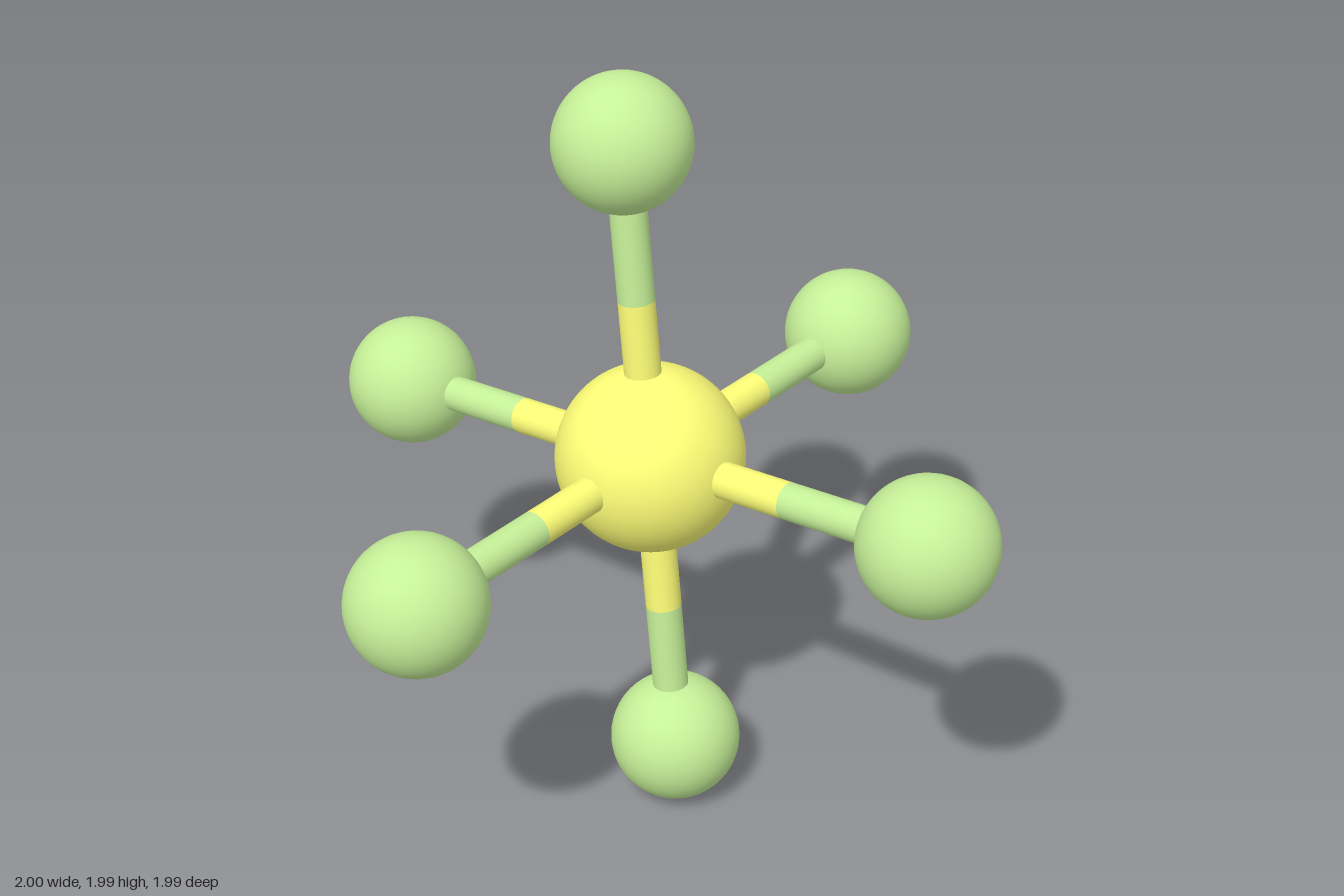
import * as THREE from 'three';

const CENTRE_R = 0.238, OUTER_R = 0.169, BOND_R = 0.046;
const REACH = 0.831, SPLIT = 0.428, TILT = -0.103;

export function createModel() {
  const yellow = new THREE.MeshStandardMaterial({ color: 0xffff78 });
  const green = new THREE.MeshStandardMaterial({ color: 0xc6f098 });

  const model = new THREE.Group();
  model.name = 'octahedralMolecule';
  const add = (parent, name, geometry, material, y = 0) => {
    const mesh = new THREE.Mesh(geometry, material);
    mesh.name = name;
    mesh.position.y = y;
    parent.add(mesh);
  };

  // Central atom
  add(model, 'centralAtom', new THREE.SphereGeometry(CENTRE_R, 64, 40), yellow);

  // Six arms, each a two-coloured bond ending in an outer atom
  const outerAtom = new THREE.SphereGeometry(OUTER_R, 48, 32);
  const bond = (length) => new THREE.CylinderGeometry(BOND_R, BOND_R, length, 32, 1, true);
  const innerBond = bond(SPLIT);
  const outerBond = bond(REACH - SPLIT);
  const directions = {
    top: [0, 1, 0], bottom: [0, -1, 0],
    left: [1, 0, 0], right: [-1, 0, 0],
    front: [0, 0, 1], back: [0, 0, -1],
  };
  const up = new THREE.Vector3(0, 1, 0);
  for (const [side, direction] of Object.entries(directions)) {
    const arm = new THREE.Group();
    arm.name = `${side}Arm`;
    add(arm, `${side}InnerBond`, innerBond, yellow, SPLIT / 2);
    add(arm, `${side}OuterBond`, outerBond, green, (SPLIT + REACH) / 2);
    add(arm, `${side}Atom`, outerAtom, green, REACH);
    arm.quaternion.setFromUnitVectors(up, new THREE.Vector3(...direction));
    model.add(arm);
  }

  // Whole molecule leans back slightly, its lowest atom touching the floor
  model.rotation.x = TILT;
  model.position.y = REACH * Math.cos(TILT) + OUTER_R;

  const root = new THREE.Group();
  root.name = 'moleculeModel';
  root.add(model);
  return root;
}
